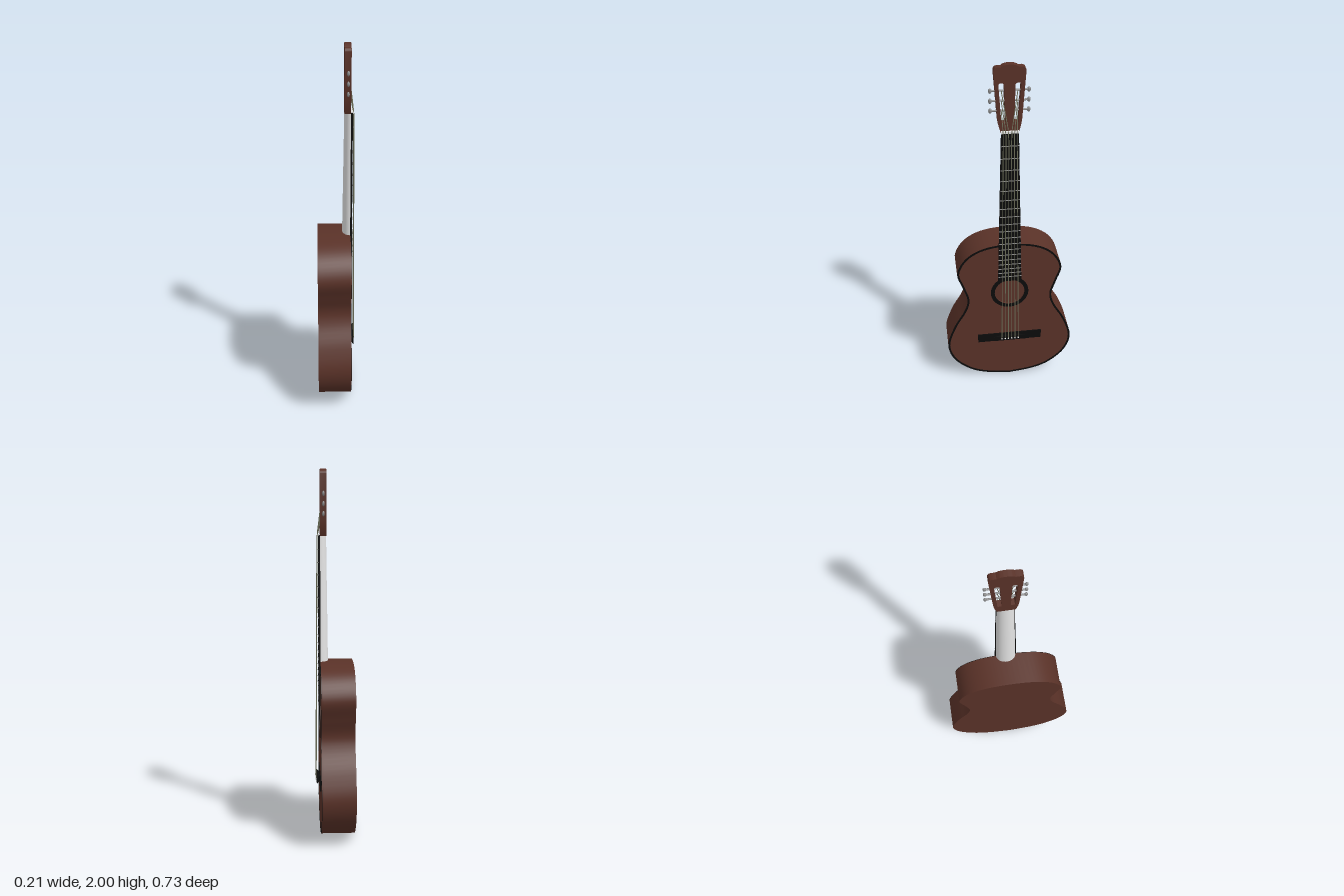
import * as THREE from 'three';
import { toCreasedNormals } from 'three/addons/utils/BufferGeometryUtils.js';

const mat = (name, color) => {
  const m = new THREE.MeshStandardMaterial({ color });
  m.name = name;
  return m;
};
const V2 = (x, y) => new THREE.Vector2(x, y);

export function createModel() {
  const wood = mat('brown wood', 0x5a3228);
  const black = mat('black trim', 0x0c0c0c);
  const white = mat('pale neck', 0xe4e4e4);
  const metal = mat('metal', 0x8c8c8c);
  const wire = mat('string wire', 0x74765f);

  // Built facing +z, then turned so the soundboard faces +x
  const guitar = new THREE.Group();
  guitar.name = 'guitar';
  const add = (name, geometry, material, x = 0, y = 0, z = 0) => {
    const mesh = new THREE.Mesh(geometry, material);
    mesh.name = name;
    mesh.position.set(x, y, z);
    guitar.add(mesh);
    return mesh;
  };
  const slab = (shape, depth, curveSegments = 40) => toCreasedNormals(
    new THREE.ExtrudeGeometry(shape, { depth, bevelEnabled: false, curveSegments }), 0.5);
  const box = (w, h, d) => new THREE.BoxGeometry(w, h, d);

  // Body outline: right half from the bottom up, mirrored to the left
  const half = [[0.14, 0.022], [0.245, 0.066], [0.335, 0.155], [0.367, 0.27], [0.325, 0.405],
    [0.262, 0.52], [0.243, 0.6], [0.268, 0.69], [0.295, 0.79], [0.245, 0.888], [0.145, 0.948]];
  const outline = new THREE.SplineCurve([
    V2(0, 0.002), ...half.map(([x, y]) => V2(x, y)), V2(0, 0.967),
    ...half.slice().reverse().map(([x, y]) => V2(-x, y)), V2(0, 0.002)]);
  const N = 120;
  const inset = (d) => Array.from({ length: N }, (_, i) => {
    const p = outline.getPoint(i / N), t = outline.getTangent(i / N);
    return V2(p.x - t.y * d, p.y + t.x * d);
  });
  const bodyShape = (d) => new THREE.Shape(inset(d));
  const rim = (d) => {
    const s = bodyShape(0);
    s.holes.push(new THREE.Path(inset(d)));
    return s;
  };
  const circle = (s, y, r) => s.absarc(0, y, r, 0, Math.PI * 2, false);
  const holeY = 0.635;

  add('bodySides', slab(rim(0.012), 0.164), wood, 0, 0, -0.097);
  add('bodyBack', slab(bodyShape(0), 0.008), wood, 0, 0, -0.105);
  const top = bodyShape(0);
  top.holes.push(circle(new THREE.Path(), holeY, 0.086));
  add('soundboard', slab(top, 0.008), wood, 0, 0, 0.067);
  add('binding', slab(rim(0.011), 0.002), black, 0, 0, 0.075);

  const ring = circle(new THREE.Shape(), holeY, 0.108);
  ring.holes.push(circle(new THREE.Path(), holeY, 0.086));
  add('soundHoleRing', slab(ring, 0.003), black, 0, 0, 0.075);

  // Bridge with an arched centre
  add('bridgePlate', box(0.376, 0.056, 0.006), black, 0, 0.302, 0.078);
  const arch = new THREE.Shape();
  arch.moveTo(-0.096, 0);
  arch.lineTo(0.096, 0);
  arch.quadraticCurveTo(0.06, -0.017, 0, -0.017);
  arch.quadraticCurveTo(-0.06, -0.017, -0.096, 0);
  const archGeometry = slab(arch, 0.03, 12);
  archGeometry.rotateX(-Math.PI / 2);
  archGeometry.rotateZ(Math.PI);
  archGeometry.rotateY(Math.PI);
  archGeometry.computeBoundingBox();
  const ab = archGeometry.boundingBox;
  archGeometry.translate(0, 0.287 - ab.min.y, 0.08 - ab.min.z);
  add('bridgeArch', archGeometry, black);

  // Neck: half-round and tapered
  const neckGeometry = new THREE.CylinderGeometry(0.043, 0.055, 0.7, 20, 1, true, Math.PI / 2, Math.PI);
  neckGeometry.scale(1, 1, 0.8);
  add('neck', neckGeometry, white, 0, 1.3, 0.075);

  // Fretboard, nut and frets
  const nutY = 1.65, bridgeY = 0.302, scale = nutY - bridgeY;
  const boardHalf = (y) => THREE.MathUtils.mapLinear(y, 0.72, nutY, 0.066, 0.045);
  add('fretboard', slab(new THREE.Shape([V2(-0.066, 0.72), V2(0.066, 0.72),
    V2(0.045, nutY), V2(-0.045, nutY)]), 0.01), black, 0, 0, 0.074);
  add('nut', box(0.09, 0.01, 0.016), white, 0, nutY, 0.08);
  for (let i = 1; i <= 19; i++) {
    const y = nutY - scale * (1 - 2 ** (-i / 12));
    add('fret', box(boardHalf(y) * 2, 0.004, 0.003), metal, 0, y, 0.085);
  }

  // Slotted headstock with a raised crown
  const head = new THREE.Shape();
  head.moveTo(-0.045, 1.645);
  head.lineTo(0.045, 1.645);
  head.quadraticCurveTo(0.058, 1.68, 0.062, 1.72);
  head.lineTo(0.08, 1.965);
  head.quadraticCurveTo(0.08, 1.985, 0.062, 1.988);
  head.lineTo(0.042, 1.988);
  head.quadraticCurveTo(0.03, 2, 0, 2);
  head.quadraticCurveTo(-0.03, 2, -0.042, 1.988);
  head.lineTo(-0.062, 1.988);
  head.quadraticCurveTo(-0.08, 1.985, -0.08, 1.965);
  head.lineTo(-0.062, 1.72);
  head.quadraticCurveTo(-0.058, 1.68, -0.045, 1.645);
  for (const s of [-1, 1]) {
    head.holes.push(new THREE.Path([V2(s * 0.022, 1.70), V2(s * 0.042, 1.70),
      V2(s * 0.056, 1.9), V2(s * 0.05, 1.907), V2(s * 0.034, 1.907), V2(s * 0.028, 1.9)]));
  }
  add('headstock', slab(head, 0.034, 8), wood, 0, 0, 0.04);

  // Tuning pegs, three to a side
  const pegY = [1.76, 1.812, 1.865];
  const postGeometry = new THREE.CylinderGeometry(0.005, 0.005, 0.068, 10).rotateZ(Math.PI / 2);
  const buttonGeometry = new THREE.SphereGeometry(1, 12, 8).scale(0.009, 0.014, 0.007);
  for (const s of [-1, 1]) {
    for (const y of pegY) {
      add('tuningPost', postGeometry, metal, s * 0.059, y, 0.058);
      add('tuningButton', buttonGeometry, metal, s * 0.096, y, 0.058);
    }
  }

  // Strings: bridge, over the nut, then into the headstock slots
  const beadGeometry = new THREE.SphereGeometry(0.005, 8, 6);
  for (let i = 0; i < 6; i++) {
    const k = (i - 2.5) / 2.5, s = Math.sign(k);
    const peg = i < 3 ? i : 5 - i;
    const points = [
      new THREE.Vector3(k * 0.049, bridgeY, 0.099),
      new THREE.Vector3(k * 0.035, nutY, 0.09),
      new THREE.Vector3(s * 0.041, pegY[peg], 0.062)];
    const path = new THREE.CurvePath();
    path.add(new THREE.LineCurve3(points[0], points[1]));
    path.add(new THREE.LineCurve3(points[1], points[2]));
    add('string', new THREE.TubeGeometry(path, 24, 0.0022, 6), wire);
    add('stringBead', beadGeometry, white, k * 0.049, bridgeY, 0.099);
  }

  guitar.rotation.y = Math.PI / 2;
  const model = new THREE.Group();
  model.name = 'acousticGuitar';
  model.add(guitar);
  return model;
}
